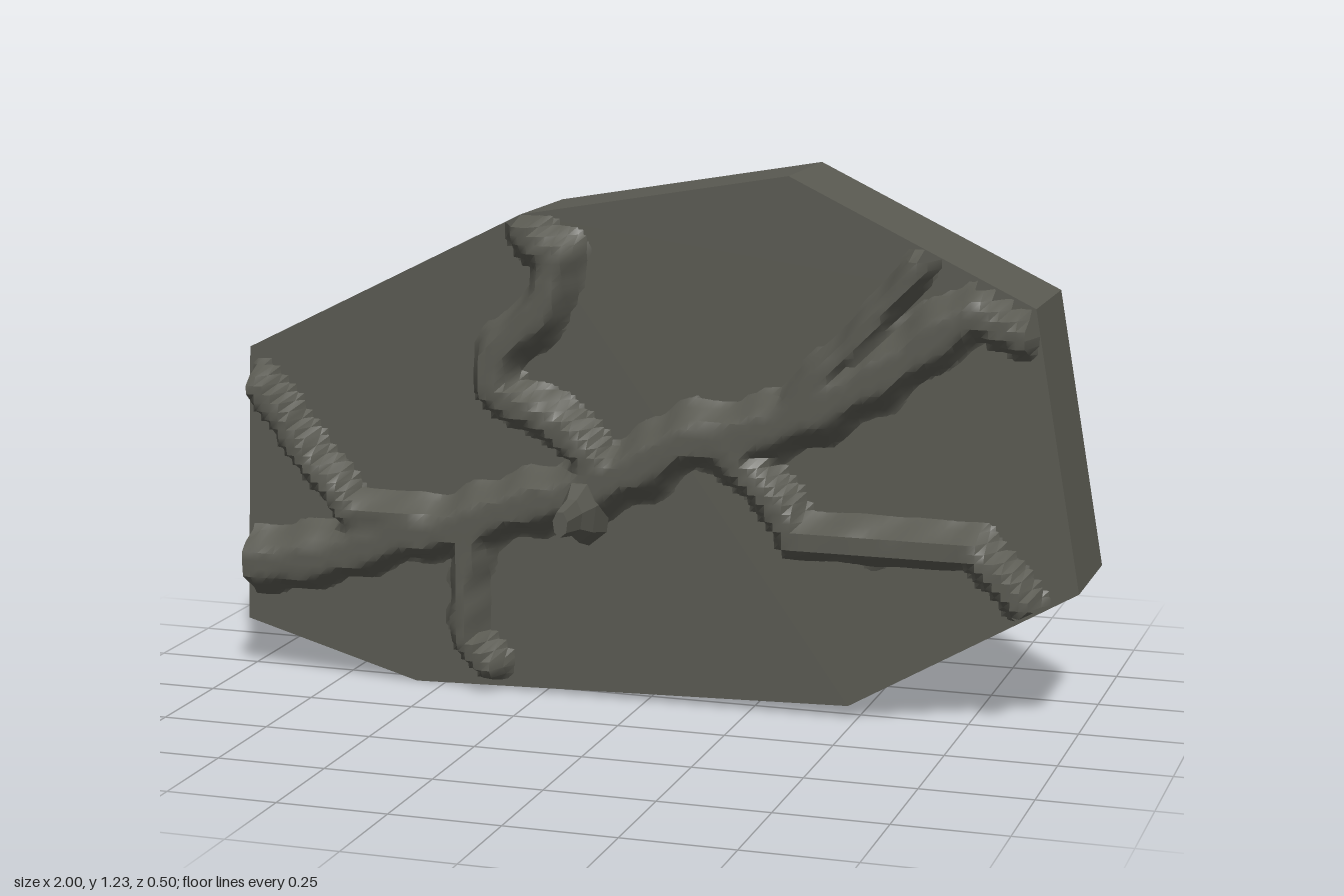
import * as THREE from 'three';
import { toCreasedNormals } from 'three/addons/utils/BufferGeometryUtils.js';

const FRONT = 0.04, BACK = -0.25, RELIEF = 0.075, CELL = 0.02;
const outline = [[-1, 0.12], [-0.57, 0], [0.48, 0.03], [1, 0.33], [0.89, 0.96], [0.33, 1.23], [-0.3, 1.12], [-0.98, 0.78]];

// Centre lines of the raised veins, with the half width at start and end
const veins = [
  { w: [0.085, 0.085], p: [[-0.96, 0.27], [-0.85, 0.28], [-0.7, 0.32], [-0.6, 0.36], [-0.45, 0.39], [-0.3, 0.45], [-0.15, 0.49], [0, 0.56], [0.1, 0.63], [0.25, 0.65], [0.4, 0.71], [0.55, 0.8]] },
  { w: [0.085, 0.055], p: [[0.55, 0.8], [0.7, 0.91], [0.76, 0.95], [0.87, 0.9]] },
  { w: [0.05, 0.04], p: [[0.36, 0.74], [0.48, 0.85], [0.55, 0.94], [0.64, 1.05]] },
  { w: [0.065, 0.065], p: [[-0.08, 0.54], [-0.2, 0.64], [-0.36, 0.72], [-0.35, 0.8], [-0.23, 0.91], [-0.2, 1.03], [-0.27, 1.08]] },
  { w: [0.055, 0.055], p: [[-0.5, 0.39], [-0.72, 0.41], [-0.83, 0.54], [-0.88, 0.62], [-0.94, 0.69]] },
  { w: [0.055, 0.05], p: [[-0.42, 0.38], [-0.43, 0.25], [-0.43, 0.13], [-0.37, 0.06]] },
  { w: [0.065, 0.055], p: [[0.18, 0.63], [0.31, 0.5], [0.36, 0.42], [0.6, 0.42], [0.76, 0.42], [0.88, 0.31]] },
];

// Raised height at a point: a flat-topped bank around the nearest vein
function relief(x, y) {
  const wobble = 1 + 0.1 * Math.sin(x * 41 + y * 13) + 0.07 * Math.sin(y * 57 - x * 23);
  let best = 0;
  for (const { w, p } of veins) {
    for (let i = 0; i < p.length - 1; i++) {
      const [ax, ay] = p[i], dx = p[i + 1][0] - ax, dy = p[i + 1][1] - ay;
      const t = THREE.MathUtils.clamp(((x - ax) * dx + (y - ay) * dy) / (dx * dx + dy * dy), 0, 1);
      const d = Math.hypot(x - ax - t * dx, y - ay - t * dy);
      const half = wobble * THREE.MathUtils.lerp(w[0], w[1], (i + t) / (p.length - 1));
      best = Math.max(best, 1 - THREE.MathUtils.smoothstep(d, half * 0.35, half));
    }
  }
  return best;
}

// Distance inside the convex outline (negative when outside)
function inside(x, y) {
  return Math.min(...outline.map(([ax, ay], i) => {
    const [bx, by] = outline[(i + 1) % outline.length];
    return ((bx - ax) * (y - ay) - (by - ay) * (x - ax)) / Math.hypot(bx - ax, by - ay);
  }));
}

// Grid surface covering only the cells that a vein passes through
function veinGeometry() {
  const nx = Math.round(2 / CELL), ny = Math.ceil(1.24 / CELL);
  const position = [], height = [], index = [];
  for (let j = 0; j <= ny; j++) {
    for (let i = 0; i <= nx; i++) {
      const x = -1 + i * CELL, y = j * CELL;
      const h = inside(x, y) > 0.008 ? relief(x, y) : 0;
      height.push(h);
      position.push(x, y, FRONT - 0.004 + (RELIEF + 0.004) * h);
    }
  }
  for (let j = 0; j < ny; j++) {
    for (let i = 0; i < nx; i++) {
      const a = j * (nx + 1) + i, b = a + 1, c = a + nx + 1, d = c + 1;
      const inSlab = [a, b, c, d].every(k => inside(position[k * 3], position[k * 3 + 1]) > 0);
      if (inSlab && height[a] + height[b] + height[c] + height[d] > 0) index.push(a, b, d, a, d, c);
    }
  }
  const geometry = new THREE.BufferGeometry();
  geometry.setAttribute('position', new THREE.Float32BufferAttribute(position, 3));
  geometry.setIndex(index);
  return toCreasedNormals(geometry, 0.7);
}

export function createModel() {
  const group = new THREE.Group();
  const stone = new THREE.MeshStandardMaterial({ color: 0x5a5a52 });
  const add = (name, geometry, material = stone) => {
    const mesh = new THREE.Mesh(geometry, material);
    mesh.name = name;
    group.add(mesh);
    return mesh;
  };

  // Eight-sided stone slab
  const shape = new THREE.Shape(outline.map(([x, y]) => new THREE.Vector2(x, y)));
  add('slab', new THREE.ExtrudeGeometry(shape, { depth: FRONT - BACK, bevelEnabled: false })).position.z = BACK;

  // Branching raised veins on the front
  const veinStone = stone.clone();
  veinStone.side = THREE.DoubleSide;
  add('veins', veinGeometry(), veinStone);

  // Blunt spur standing out of the main vein
  const spurStone = stone.clone();
  spurStone.flatShading = true;
  const profile = [[0.055, 0.05], [0.042, 0.12], [0.026, 0.17], [0.018, 0.25], [0, 0.25]];
  const spur = new THREE.LatheGeometry(profile.map(([r, z]) => new THREE.Vector2(r, z)), 7);
  spur.rotateX(Math.PI / 2).scale(1, 1.7, 1);
  add('spur', spur, spurStone).position.set(-0.135, 0.455, 0);

  return group;
}
